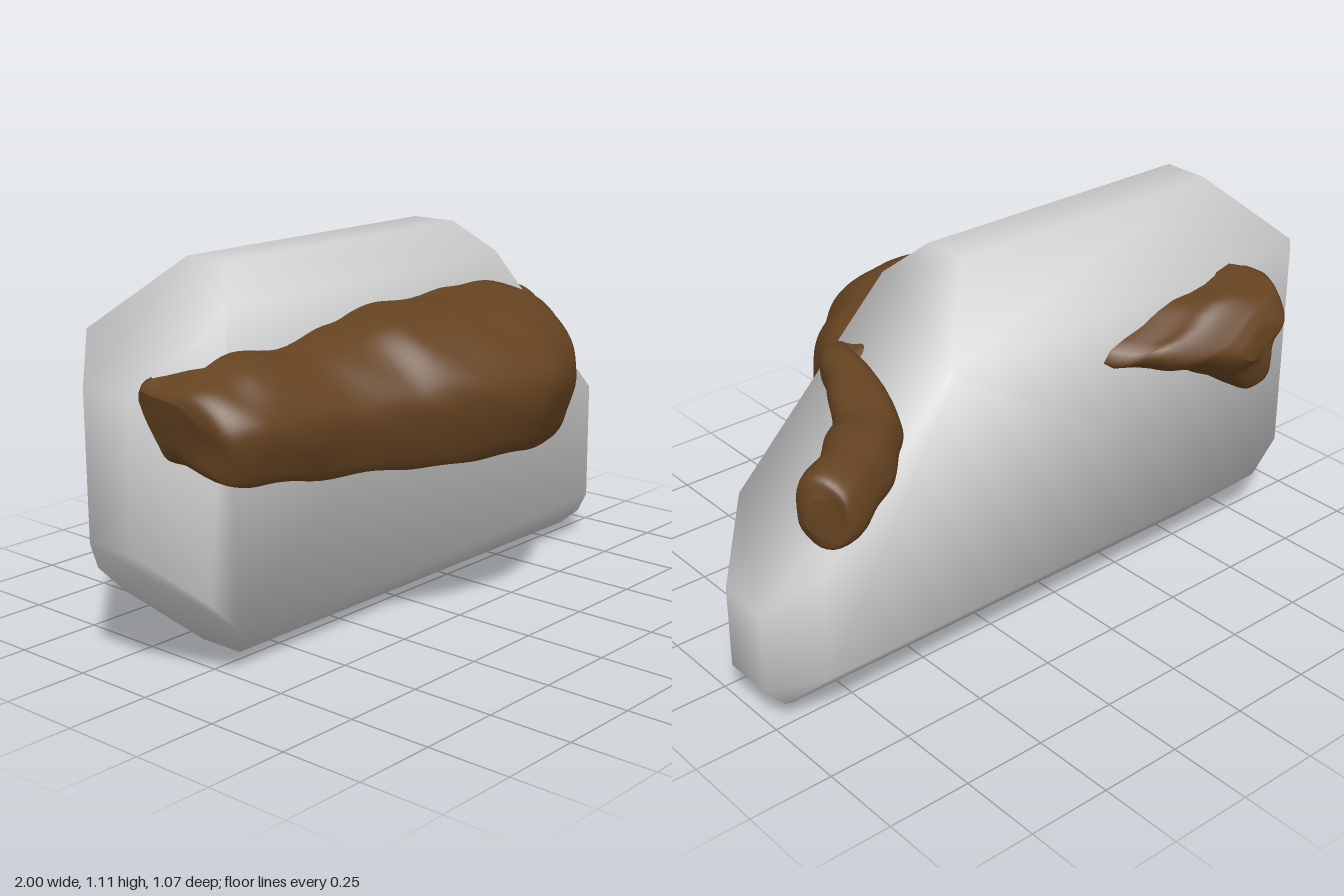
import * as THREE from 'three';
import { ConvexGeometry } from 'three/addons/geometries/ConvexGeometry.js';

const V = (x, y, z) => new THREE.Vector3(x, y, z);

// Chamfered block: convex solid bounded by planes [nx, ny, nz, distance]
function chamferedBlock(planes) {
  const corners = [];
  const n = planes.map(p => V(p[0], p[1], p[2]));
  for (let i = 0; i < n.length; i++)
    for (let j = i + 1; j < n.length; j++)
      for (let k = j + 1; k < n.length; k++) {
        const bc = n[j].clone().cross(n[k]);
        const det = n[i].dot(bc);
        if (Math.abs(det) < 1e-6) continue;
        const p = bc.multiplyScalar(planes[i][3])
          .addScaledVector(n[k].clone().cross(n[i]), planes[j][3])
          .addScaledVector(n[i].clone().cross(n[j]), planes[k][3])
          .divideScalar(det);
        const inside = planes.every((q, m) => n[m].dot(p) <= q[3] + 1e-5);
        if (inside && !corners.some(c => c.distanceTo(p) < 0.004)) corners.push(p);
      }
  const g = new ConvexGeometry(corners);
  // Soft shading: each corner averages the planes that meet there
  const pos = g.attributes.position;
  for (let i = 0; i < pos.count; i++) {
    const p = V().fromBufferAttribute(pos, i), sum = V();
    n.forEach((v, m) => {
      if (v.dot(p) > planes[m][3] - 0.007) sum.add(v.clone().normalize());
    });
    sum.normalize();
    g.attributes.normal.setXYZ(i, sum.x, sum.y, sum.z);
  }
  return g;
}

// Smooth closed skin through a row of rings, with gentle surface lumps
function loft(rings, around, along, bump) {
  const cols = rings.map(r => new THREE.CatmullRomCurve3(r, true, 'centripetal').getPoints(around).slice(0, around));
  const pos = [], idx = [];
  for (let a = 0; a < around; a++) {
    const curve = new THREE.CatmullRomCurve3(cols.map(c => c[a]), false, 'centripetal');
    for (const p of curve.getPoints(along)) {
      const s = bump * Math.sin(p.x * 23 + p.y * 17) * Math.sin(p.z * 21 + p.y * 29 + 1);
      pos.push(p.x + s * 0.5, p.y + s, p.z + s * 0.6);
    }
  }
  const w = along + 1;
  for (let a = 0; a < around; a++) {
    const b = (a + 1) % around;
    for (let i = 0; i < along; i++)
      idx.push(a * w + i, b * w + i, b * w + i + 1, a * w + i, b * w + i + 1, a * w + i + 1);
  }
  // End caps
  for (const end of [0, along]) {
    const c = V(0, 0, 0);
    for (let a = 0; a < around; a++) c.add(V().fromArray(pos, (a * w + end) * 3));
    c.divideScalar(around);
    const ci = pos.push(c.x, c.y, c.z) / 3 - 1;
    for (let a = 0; a < around; a++) {
      const p = a * w + end, q = ((a + 1) % around) * w + end;
      idx.push(...(end ? [ci, p, q] : [ci, q, p]));
    }
  }
  // Turn the faces outward when the enclosed volume is negative
  let volume = 0;
  for (let i = 0; i < idx.length; i += 3) {
    const [p, q, r] = [0, 1, 2].map(k => V().fromArray(pos, idx[i + k] * 3));
    volume += p.dot(q.cross(r));
  }
  if (volume < 0) idx.reverse();
  const g = new THREE.BufferGeometry();
  g.setAttribute('position', new THREE.Float32BufferAttribute(pos, 3));
  g.setIndex(idx);
  g.computeVertexNormals();
  return g;
}

export function createModel() {
  const group = new THREE.Group();
  const grey = new THREE.MeshStandardMaterial({ color: 0xd0d0d0 });
  grey.name = 'light grey';
  const brown = new THREE.MeshStandardMaterial({ color: 0x654321 });
  brown.name = 'brown';
  const add = (name, geometry, material) => {
    const m = new THREE.Mesh(geometry, material);
    m.name = name;
    group.add(m);
  };

  add('block', chamferedBlock([
    [1, 0, 0, 1], [-1, 0, 0, 1], [0, 1, 0, 1.11], [0, -1, 0, 0], [0, 0, 1, 0.11], [0, 0, -1, 0.33],
    [1, 1, 0, 1.35], [-1, 1, 0, 1.8], [-1, -1, 0, 0.62], [1, -1, 0, 0.9],
    [0, 1, 1, 1.13], [0, 1, -1, 1.235], [0, -1, 1, -0.035], [0, -1, -1, 0.18],
    [-1, 0, 1, 0.97], [-1, 0, -1, 1.195], [1, 0, -1, 1.21], [1, 0, 1, 0.95],
  ]), grey);

  // Front body: [x, bottom, top, front z] stations with one shared profile
  const profile = [[0, 0.1], [0.4, 0.06], [0.82, 0], [0.87, 0.01], [0.95, 0.2], [1, 0.45],
    [0.97, 0.6], [0.83, 0.8], [0.65, 0.94], [0.45, 0.985], [0.2, 1], [0, 1]];
  const stations = [
    [-0.985, 0.68, 0.815, 0.2], [-0.965, 0.62, 0.84, 0.28], [-0.88, 0.6, 0.87, 0.32], [-0.8, 0.59, 0.895, 0.335],
    [-0.6, 0.565, 0.882, 0.35], [-0.4, 0.55, 0.915, 0.405], [-0.3, 0.545, 0.938, 0.45], [-0.15, 0.54, 0.94, 0.505],
    [0, 0.535, 0.937, 0.53], [0.12, 0.53, 0.942, 0.515], [0.25, 0.53, 0.942, 0.465], [0.38, 0.54, 0.905, 0.36],
    [0.48, 0.552, 0.865, 0.26], [0.53, 0.565, 0.84, 0.175], [0.57, 0.59, 0.82, 0.1], [0.59, 0.65, 0.8, 0.04],
  ];
  add('frontBody', loft(stations.map(([x, y0, y1, zf]) => profile.map(([u, v]) =>
    V(x + (x < -0.9 ? 0.035 * (1 - v) : 0), y0 + (y1 - y0) * v, zf * u))), 48, 90, 0.006), brown);

  // Side limb: [x, y, z, half width, half height] along its bend
  const limb = [
    [0.39, 0.79, 0.17, 0.05, 0.045], [0.505, 0.815, 0.08, 0.05, 0.05], [0.555, 0.81, -0.03, 0.067, 0.067],
    [0.62, 0.79, -0.18, 0.088, 0.067], [0.72, 0.775, -0.3, 0.098, 0.088], [0.82, 0.762, -0.385, 0.096, 0.106],
    [0.91, 0.755, -0.44, 0.09, 0.104], [0.955, 0.755, -0.458, 0.075, 0.092], [0.965, 0.755, -0.468, 0.045, 0.055],
  ];
  add('sideLimb', loft(limb.map(([x, y, z, w, h], i) => {
    const a = limb[Math.max(i - 1, 0)], b = limb[Math.min(i + 1, limb.length - 1)];
    const side = V(a[2] - b[2], 0, b[0] - a[0]).normalize();
    return Array.from({ length: 10 }, (_, k) => {
      const t = k / 10 * Math.PI * 2;
      return V(x, y + h * Math.sin(t), z).addScaledVector(side, w * Math.cos(t));
    });
  }), 28, 48, 0.009), brown);

  // Rear lump: an outline in x and y that narrows toward the back
  const outline = [[-0.1, 0.76], [-0.28, 0.85], [-0.5, 0.9], [-0.7, 0.89], [-0.75, 0.83],
    [-0.69, 0.7], [-0.61, 0.565], [-0.55, 0.57], [-0.37, 0.67]];
  const slices = [[-0.25, 1.05, 1], [-0.33, 1, 1], [-0.4, 0.82, 0.98], [-0.46, 0.62, 0.92],
    [-0.5, 0.42, 0.68], [-0.53, 0.24, 0.36]];
  add('rearLump', loft(slices.map(([z, sx, sy]) => outline.map(([x, y]) =>
    V(-0.57 + (x + 0.57) * sx, 0.75 + (y - 0.75) * sy, z))), 32, 24, 0.014), brown);

  return group;
}
